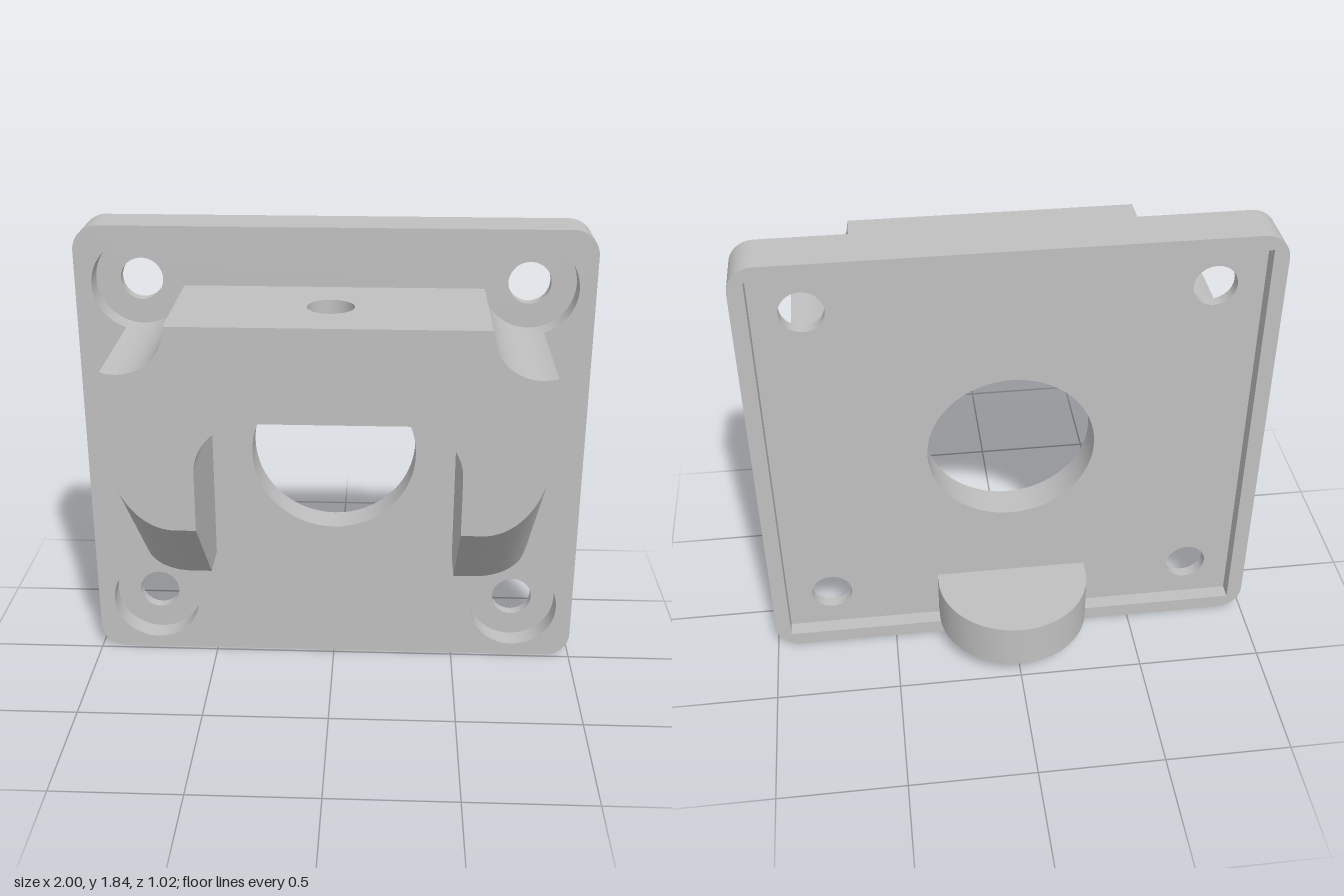
import * as THREE from 'three';
import { toCreasedNormals } from 'three/addons/utils/BufferGeometryUtils.js';

const V2 = (x, y) => new THREE.Vector2(x, y);
const V3 = (x, y, z) => new THREE.Vector3(x, y, z);
const range = (n, fn) => Array.from({ length: n + 1 }, (_, i) => fn(i / n));
const arc = (cx, cy, rx, ry, a, b, n = 24) =>
  range(n, t => V2(cx + rx * Math.cos(a + (b - a) * t), cy + ry * Math.sin(a + (b - a) * t)));

export function createModel() {
  const root = new THREE.Group();
  root.name = 'mountingBracket';
  const grey = new THREE.MeshStandardMaterial({ color: 0xc0c0c0, side: THREE.DoubleSide });
  grey.name = 'grey';
  const PI = Math.PI;

  function add(parent, name, geometry) {
    const mesh = new THREE.Mesh(geometry, grey);
    mesh.name = name;
    parent.add(mesh);
    return mesh;
  }
  // Ruled surface between two rows of points
  function ruled(a, b) {
    const g = new THREE.BufferGeometry().setFromPoints([...a, ...b]);
    const n = a.length, index = [];
    for (let i = 0; i < n - 1; i++) index.push(i, i + 1, n + i, i + 1, n + i + 1, n + i);
    g.setIndex(index);
    g.computeVertexNormals();
    return g;
  }
  // Flat face, drawn in 2D and mapped into space
  function face(points, map, hole) {
    const shape = new THREE.Shape(points);
    if (hole) shape.holes.push(new THREE.Path(hole));
    const g = new THREE.ShapeGeometry(shape);
    const p = g.attributes.position;
    for (let i = 0; i < p.count; i++) p.setXYZ(i, ...map(p.getX(i), p.getY(i)));
    g.computeVertexNormals();
    return g;
  }

  // Mounting plate: three layers give the counterbores and the rear recess
  const height = 1.84, zBack = -0.21, zRecess = -0.15, zBore = -0.105, z0 = -0.015;
  const screwX = 0.755, screwY = [0.23, 1.61], boreR = 0.18, screwR = 0.083;
  function plateShape() {
    const r = 0.1, s = new THREE.Shape();
    s.absarc(1 - r, height - r, r, 0, PI / 2);
    s.absarc(r - 1, height - r, r, PI / 2, PI);
    s.absarc(r - 1, r, r, PI, PI * 1.5);
    s.absarc(1 - r, r, r, PI * 1.5, PI * 2);
    return s;
  }
  function layer(name, shape, za, zb) {
    const g = new THREE.ExtrudeGeometry(shape, { depth: zb - za, bevelEnabled: false, curveSegments: 32 });
    g.translate(0, 0, za);
    add(root, name, toCreasedNormals(g, 0.5));
  }
  function drilled(r) {
    const s = plateShape();
    const hole = (x, y, rad) => s.holes.push(new THREE.Path().absarc(x, y, rad, 0, PI * 2, true));
    hole(0, 0.92, 0.33);
    for (const x of [-screwX, screwX]) for (const y of screwY) hole(x, y, r);
    return s;
  }
  layer('plateFront', drilled(boreR), zBore, z0);
  layer('plateWeb', drilled(screwR), zRecess, zBore);
  const rim = plateShape(), w = 0.94;
  rim.holes.push(new THREE.Path([V2(-w, 0.06), V2(-w, height - 0.06), V2(w, height - 0.06), V2(w, 0.06)]));
  layer('plateRim', rim, zBack, zRecess);

  // Rear half-round tab
  const tab = new THREE.Shape([V2(0.31, zRecess), ...arc(0, zBack + 0.01, 0.31, 0.31, 0, -PI, 48), V2(-0.31, zRecess)]);
  const tabGeo = new THREE.ExtrudeGeometry(tab, { depth: 0.195, bevelEnabled: false });
  tabGeo.rotateX(PI / 2).translate(0, 0.275, 0);
  add(root, 'rearTab', toCreasedNormals(tabGeo, 0.5));

  // Front housing, built as one half (x >= 0) and mirrored
  const half = new THREE.Group();
  half.name = 'housingLeft';
  const zF = 0.51, xo = 0.81, xi = 0.49, top = 1.61, ceil = 1.25, base = 0.46;
  const filletR = 0.24, filletX = xo - filletR, archR = 0.2, archX = xi - archR, archY = ceil - archR;
  const drop = x => x <= filletX ? 0 : Math.SQRT2 * (filletR - Math.sqrt(Math.max(0, filletR ** 2 - (x - filletX) ** 2)));
  const slopeY = (x, z) => Math.max(base, z + 0.31 + drop(x));
  const boreArc = arc(screwX, top, boreR, boreR, PI, 2 * PI - Math.acos((xo - screwX) / boreR));
  const boreEnd = boreArc[boreArc.length - 1].y;
  const columns = [xi, ...range(24, t => filletX + filletR * Math.sin(t * PI / 2))];
  const arch = arc(archX, archY, archR, archR, 0, PI / 2, 40);

  add(half, 'frontFace', face([V2(0, top), ...boreArc,
    ...columns.map(x => V2(x, slopeY(x, zF))).reverse(), ...arch, V2(0, ceil)], (x, y) => [x, y, zF]));
  add(half, 'screwClearance', ruled(boreArc.map(p => V3(p.x, p.y, z0)), boreArc.map(p => V3(p.x, p.y, zF))));

  // Sloped underside with rounded outer edge, and the flat foot behind it
  const kink = x => Math.max(z0, 0.15 - drop(x));
  const kinkRow = columns.map(x => V3(x, slopeY(x, kink(x)), kink(x)));
  add(half, 'slope', ruled(kinkRow, columns.map(x => V3(x, slopeY(x, zF), zF))));
  const foot = columns.filter(x => kink(x) > z0);
  foot.push(0.776);
  add(half, 'foot', ruled(foot.map(x => V3(x, base, z0)), foot.map(x => V3(x, base, kink(x)))));

  // Cross hole through the side wall, stopping in the arch corner
  const hy = 1.21, hz = 0.185, hr = 0.088;
  const ring = arc(hz, hy, hr, hr, 0, 2 * PI, 48);
  const innerX = y => y >= ceil ? archX : archX + Math.sqrt(archR ** 2 - (y - archY) ** 2);
  add(half, 'outerSide', face([V2(z0, slopeY(xo, z0)), V2(zF, slopeY(xo, zF)), V2(zF, boreEnd), V2(z0, boreEnd)],
    (z, y) => [xo, y, z], ring.slice(1)));
  add(half, 'crossHole', ruled(ring.map(p => V3(xo, p.y, p.x)), ring.map(p => V3(innerX(p.y), p.y, p.x))));
  const a = Math.asin((ceil - hy) / hr);
  add(half, 'crossHoleEnd', face(arc(hz, hy, hr, hr, a, PI - a), (z, y) => [archX, y, z]));

  // Arched opening: straight wall, rounded corner split around the hole
  add(half, 'innerWall', face([V2(z0, base), V2(0.15, base), V2(zF, 0.82), V2(zF, archY), V2(z0, archY)],
    (z, y) => [xi, y, z]));
  const gap = y => Math.sqrt(Math.max(0, hr ** 2 - (y - hy) ** 2));
  for (const [s, zEnd] of [[-1, z0], [1, zF]])
    add(half, 'archCorner', ruled(arch.map(p => V3(p.x, p.y, zEnd)), arch.map(p => V3(p.x, p.y, hz + s * gap(p.y)))));

  // Top face and arch ceiling, joined by the vertical hole
  const halfRing = arc(0, 0.245, 0.088, 0.088, -PI / 2, PI / 2);
  for (const [name, y, x] of [['topFace', top, top - 1.035], ['archCeiling', ceil, archX]])
    add(half, name, face([V2(0, z0), V2(x, z0), V2(x, zF), V2(0, zF), ...halfRing.slice().reverse()],
      (px, pz) => [px, y, pz]));
  add(half, 'topHole', ruled(halfRing.map(p => V3(p.x, ceil, p.y)), halfRing.map(p => V3(p.x, top, p.y))));

  const mirror = half.clone();
  mirror.name = 'housingRight';
  mirror.scale.x = -1;
  root.add(half, mirror);

  // Centre the depth
  for (const child of root.children) child.position.z = 0;
  return root;
}
